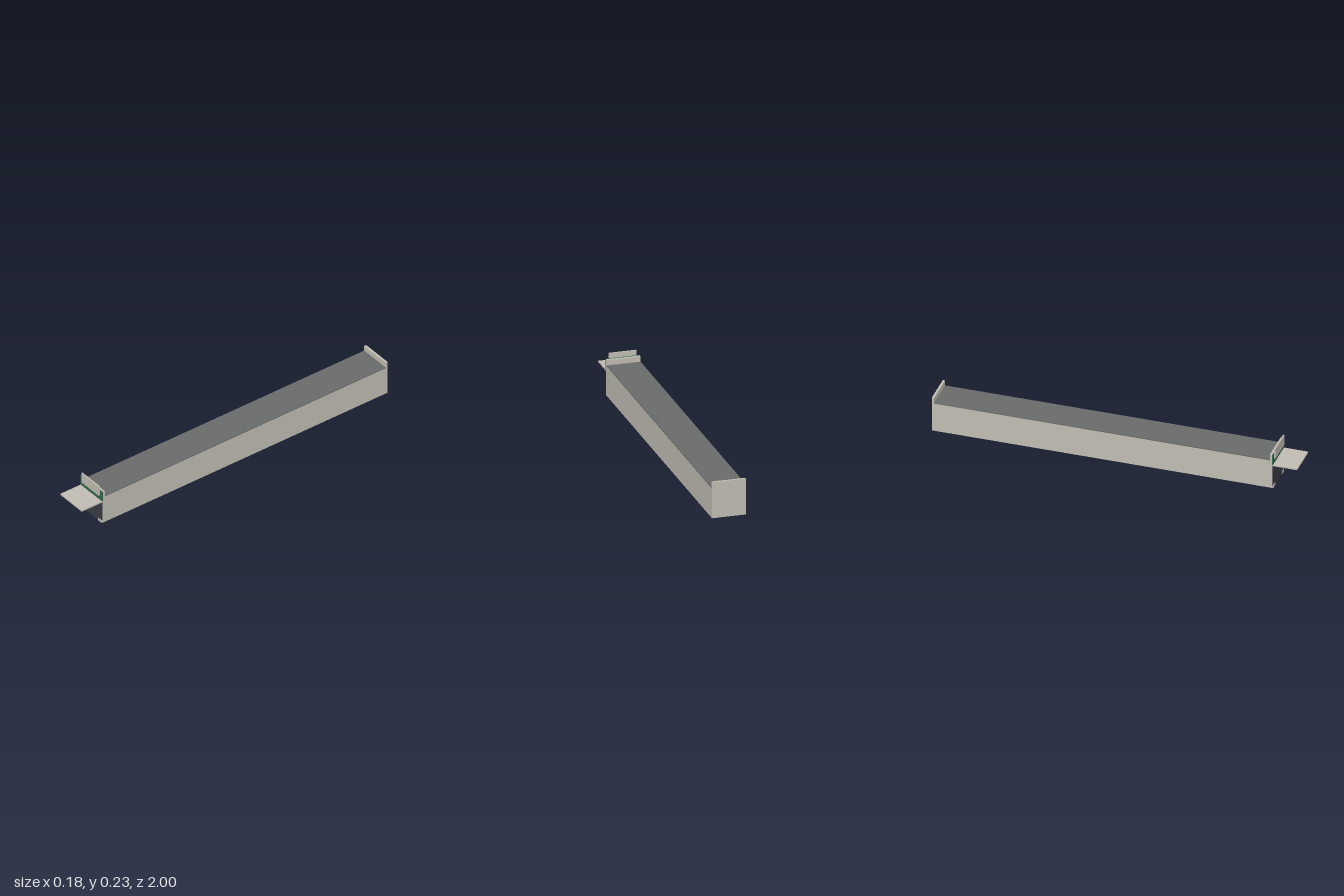
import * as THREE from 'three';

const material = (name, color) => {
  const m = new THREE.MeshStandardMaterial({ color });
  m.name = name;
  return m;
};

export function createModel() {
  const group = new THREE.Group();
  const wall = material('warm grey wall', 0xc0bcb3);
  const roofing = material('dark grey roofing', 0x686b6a);
  const green = material('green fascia', 0x35694a);
  const glass = material('dark glass', 0x383c45);

  // Box given by its lower and upper limits on each axis
  const box = (name, mat, [x0, x1], [y0, y1], [z0, z1]) => {
    const mesh = new THREE.Mesh(new THREE.BoxGeometry(x1 - x0, y1 - y0, z1 - z0), mat);
    mesh.position.set((x0 + x1) / 2, (y0 + y1) / 2, (z0 + z1) / 2);
    mesh.name = name;
    group.add(mesh);
  };
  const full = [-0.092, 0.092];

  // Long hall and its roof slab
  box('hall', wall, full, [0, 0.165], [-1, 0.863]);
  box('roof', roofing, full, [0.165, 0.17], [-0.987, 0.85]);

  // Raised end walls
  box('backParapet', wall, full, [0.165, 0.2], [-1, -0.987]);
  box('frontParapet', wall, full, [0.165, 0.2], [0.85, 0.863]);

  // Shop front: glazing, low corner plinths, green fascia
  box('shopWindow', glass, [-0.089, 0.089], [0.002, 0.133], [0.863, 0.867]);
  for (const s of [-1, 1]) {
    const xs = [s * 0.057, s * 0.09].sort((a, b) => a - b);
    box(s > 0 ? 'leftPlinth' : 'rightPlinth', wall, xs, [0, 0.015], [0.863, 0.869]);
  }
  box('fascia', green, full, [0.14, 0.201], [0.863, 0.868]);

  // Flat canopy and sign board
  box('canopy', wall, full, [0.133, 0.141], [0.863, 1]);
  box('signBoard', wall, [-0.075, 0.075], [0.17, 0.229], [0.868, 0.876]);

  return group;
}
